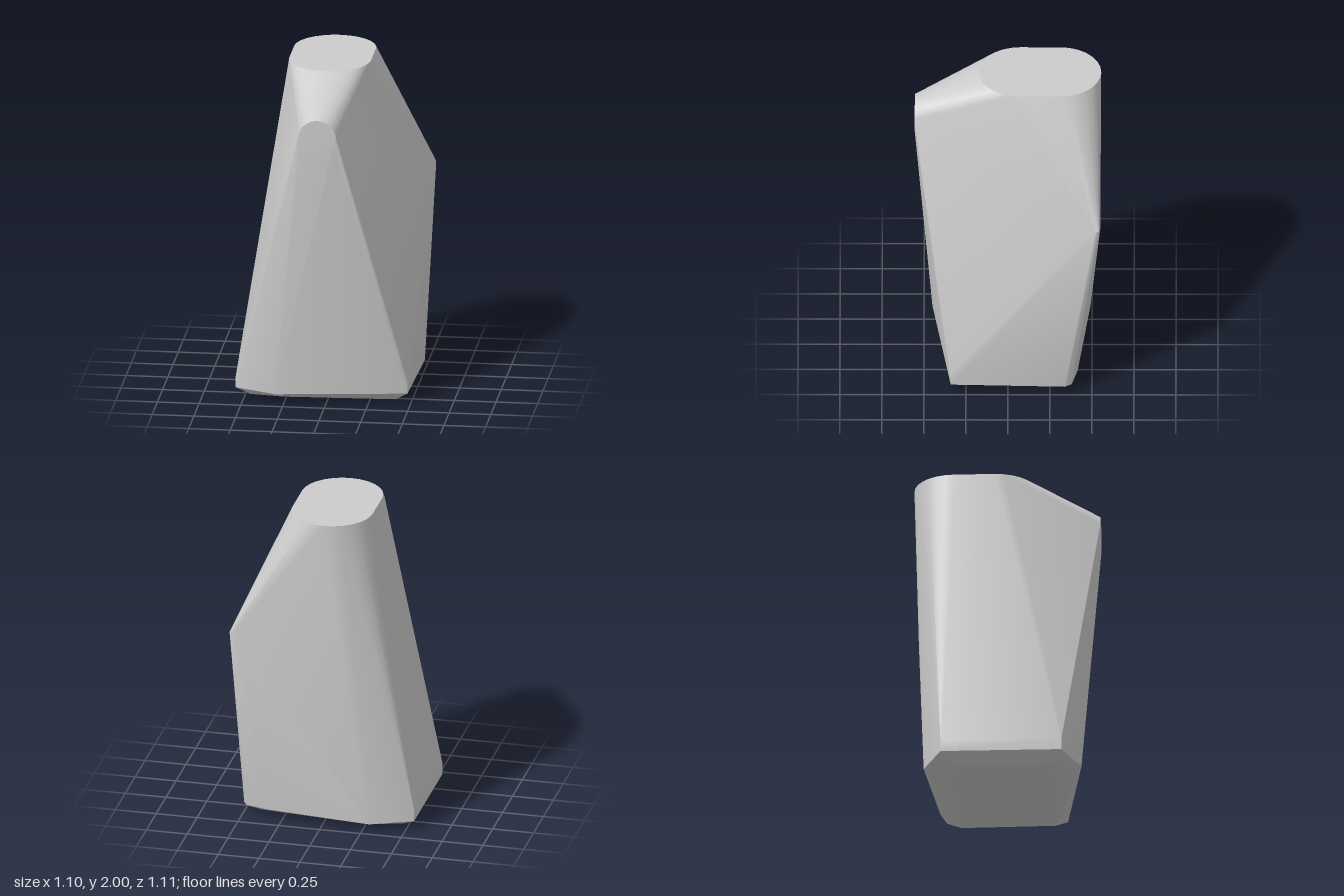
import * as THREE from 'three';
import { ConvexGeometry } from 'three/addons/geometries/ConvexGeometry.js';
import { toCreasedNormals } from 'three/addons/utils/BufferGeometryUtils.js';

const point = (x, y, z) => new THREE.Vector3(x, y, z);

export function createModel() {
  const group = new THREE.Group();
  const points = [];
  const cx = -0.035;

  // flat underside
  for (const [x, z] of [[-0.47, 0.27], [-0.27, 0.3], [0.4, 0.27], [0.41, -0.29], [-0.27, -0.34], [-0.47, -0.29]])
    points.push(point(x, 0, z));

  // foot rim above the bevel
  for (const [x, z] of [[-0.55, 0.34], [-0.3, 0.45], [0.48, 0.34], [0.5, -0.34],
    [0.475, -0.38], [0.34, -0.415], [-0.3, -0.49], [-0.55, -0.38]])
    points.push(point(x, 0.06, z));

  // short upright walls at the foot corners
  for (const [x, z] of [[-0.55, 0.34], [0.48, 0.34], [-0.55, -0.38]])
    points.push(point(x, 0.13, z));

  // stadium-shaped flat top: two half circles
  const steps = 14, topRadius = 0.245;
  for (let i = 0; i <= steps; i++) {
    const a = (i / steps) * Math.PI;
    const x = cx + topRadius * Math.cos(a), dz = topRadius * Math.sin(a);
    points.push(point(x, 2, -0.07 + dz), point(x, 2, -0.31 - dz));
  }

  // round nozzle face at the front
  for (let i = 0; i < 24; i++) {
    const a = (i / 24) * Math.PI * 2;
    points.push(point(cx + 0.113 * Math.cos(a), 1.695 + 0.113 * Math.sin(a), 0.555));
  }

  // rounded rear side corner
  points.push(point(0.545, 1.24, -0.525), point(0.54, 1.245, -0.543), point(0.52, 1.25, -0.55));

  // one tight skin over all the sections
  const geometry = toCreasedNormals(new ConvexGeometry(points), 0.45);
  const body = new THREE.Mesh(geometry, new THREE.MeshStandardMaterial({ color: 0xcccccc }));
  body.name = 'body';
  group.add(body);
  return group;
}
